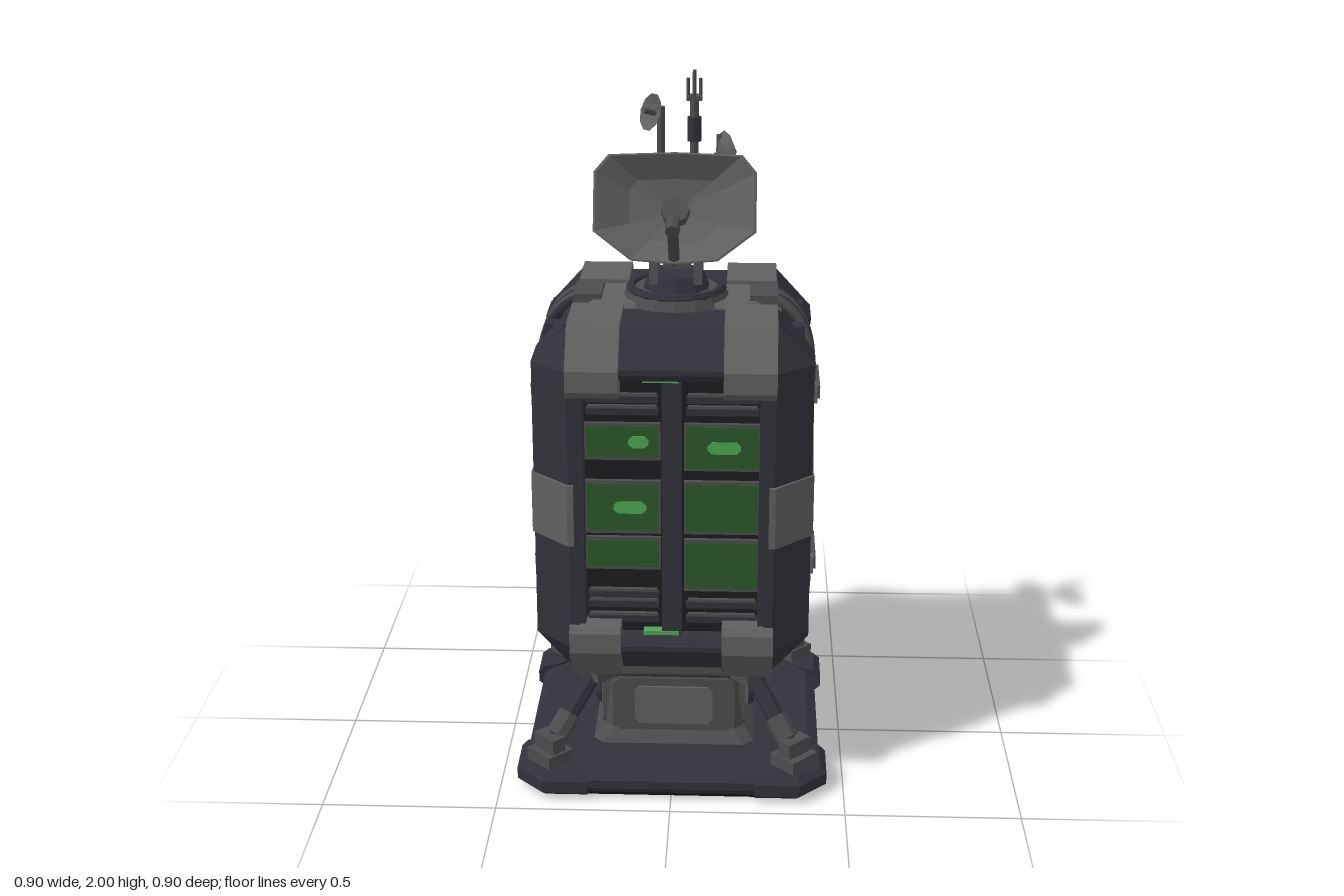
import * as THREE from 'three';

const mat = (name, color) => Object.assign(new THREE.MeshStandardMaterial({ color }), { name });
const M = {
  gray: mat('plate gray', 0x606061), dark: mat('dark armour', 0x31313a), mid: mat('mid gray', 0x4c4c4e),
  black: mat('black', 0x1d1d20), green: mat('screen green', 0x2a5729), bright: mat('bright green', 0x4ea552),
  mint: mat('mint trim', 0x6f9a80),
};
const V = (x, y, z) => new THREE.Vector3(x, y, z);

// faceted copy, optionally mirrored with corrected winding
function flat(geo, sx = 1, sy = 1, sz = 1) {
  const g = geo.index ? geo.toNonIndexed() : geo.clone();
  g.scale(sx, sy, sz);
  if (sx * sy * sz < 0) {
    const p = g.attributes.position;
    for (let i = 0; i < p.count; i += 3) {
      const a = V().fromBufferAttribute(p, i), b = V().fromBufferAttribute(p, i + 2);
      p.setXYZ(i, b.x, b.y, b.z);
      p.setXYZ(i + 2, a.x, a.y, a.z);
    }
  }
  g.computeVertexNormals();
  return g;
}

// skin through equal-length counter-clockwise outlines: sections = [[points, z], ...]
function loft(sections) {
  const pos = [], idx = [], n = sections[0][0].length, last = (sections.length - 1) * n;
  for (const [pts, z] of sections) for (const [x, y] of pts) pos.push(x, y, z);
  for (let s = 0; s < last; s += n) for (let i = 0; i < n; i++) {
    const j = (i + 1) % n;
    idx.push(s + i, s + j, s + n + j, s + i, s + n + j, s + n + i);
  }
  for (let i = 1; i < n - 1; i++) idx.push(0, i + 1, i, last, last + i, last + i + 1);
  const g = new THREE.BufferGeometry();
  g.setAttribute('position', new THREE.Float32BufferAttribute(pos, 3));
  g.setIndex(idx);
  return g;
}
const upLoft = (s) => loft(s).rotateX(-Math.PI / 2);
const octagon = (w, h, c) => [[w, -h + c], [w, h - c], [w - c, h], [-w + c, h], [-w, h - c], [-w, -h + c], [-w + c, -h], [w - c, -h]];
const extrude = (pts, depth) => new THREE.ExtrudeGeometry(new THREE.Shape(pts.map(p => new THREE.Vector2(...p))), { depth, bevelEnabled: false });

function add(parent, name, geo, material, x = 0, y = 0, z = 0) {
  const m = new THREE.Mesh(flat(geo), material);
  m.name = name;
  m.position.set(x, y, z);
  parent.add(m);
  return m;
}
const box = (p, name, m, w, h, d, x, y, z) => add(p, name, new THREE.BoxGeometry(w, h, d), m, x, y, z);
function rod(p, name, m, a, b, r, sides = 6) {
  const d = b.clone().sub(a);
  const o = add(p, name, new THREE.CylinderGeometry(r, r, d.length(), sides), m, ...a.clone().add(b).multiplyScalar(0.5).toArray());
  o.quaternion.setFromUnitVectors(V(0, 1, 0), d.normalize());
  return o;
}
const corners = [[1, 1], [1, -1], [-1, 1], [-1, -1]];
const MID = 0.87; // mirror height of the cabinet

function base(g) {
  add(g, 'basePlate', upLoft([[octagon(0.42, 0.42, 0.07), 0.02], [octagon(0.43, 0.43, 0.07), 0.03], [octagon(0.43, 0.43, 0.07), 0.055], [octagon(0.4, 0.4, 0.07), 0.073]]), M.dark);
  add(g, 'baseUnderside', upLoft([[octagon(0.41, 0.41, 0.07), 0], [octagon(0.43, 0.43, 0.07), 0.02]]), M.black);
  const capPlan = (o) => [[0.24, 0.45 - o], [0.25, 0.39], [0.39, 0.25], [0.45 - o, 0.24], [0.45 - o, 0.37 - o / 2], [0.37 - o / 2, 0.45 - o]];
  const cap = upLoft([[capPlan(0.015), 0.012], [capPlan(0), 0.025], [capPlan(0), 0.06], [capPlan(0.02), 0.08]]);
  for (const [sx, sz] of corners) {
    add(g, 'baseCornerCap', flat(cap, sx, 1, sz), M.dark);
    const foot = box(g, 'strutFoot', M.mid, 0.1, 0.045, 0.09, 0.355 * sx, 0.095, 0.355 * sz);
    foot.rotation.y = sx * sz * Math.PI / 4;
    const clevis = box(g, 'strutClevis', M.mid, 0.085, 0.055, 0.045, 0.355 * sx, 0.135, 0.355 * sz);
    clevis.rotation.y = sx * sz * Math.PI / 4;
    rod(g, 'strut', M.dark, V(0.355 * sx, 0.12, 0.355 * sz), V(0.215 * sx, 0.33, 0.215 * sz), 0.026, 8);
    rod(g, 'strutSleeve', M.mid, V(0.335 * sx, 0.15, 0.335 * sz), V(0.3 * sx, 0.203, 0.3 * sz), 0.034, 8);
    const plug = box(g, 'strutBracket', M.mid, 0.09, 0.05, 0.07, 0.225 * sx, 0.315, 0.225 * sz);
    plug.rotation.y = sx * sz * Math.PI / 4;
  }
  // pedestal
  add(g, 'pedestal', upLoft([[octagon(0.24, 0.24, 0.03), 0.07], [octagon(0.205, 0.205, 0.025), 0.11], [octagon(0.195, 0.195, 0.025), 0.27], [octagon(0.25, 0.25, 0.04), 0.31], [octagon(0.25, 0.25, 0.04), 0.37]]), M.mid);
  for (let i = 0; i < 4; i++) {
    const side = new THREE.Group();
    side.name = 'pedestalSide';
    side.rotation.y = i * Math.PI / 2;
    add(side, 'pedestalPanel', extrude(octagon(0.18, 0.085, 0.02), 0.02), M.mid, 0, 0.19, 0.192);
    add(side, 'pedestalHatch', extrude(octagon(0.115, 0.06, 0.015), 0.012), M.gray, 0, 0.19, 0.208);
    if (i % 2) for (const x of [-0.065, 0.065]) {
      add(side, 'pedestalPort', new THREE.TorusGeometry(0.038, 0.014, 6, 10), M.dark, x, 0.175, 0.225);
      add(side, 'portCore', new THREE.CylinderGeometry(0.034, 0.034, 0.03, 8).rotateX(Math.PI / 2), M.black, x, 0.175, 0.22);
    }
    g.add(side);
  }
}

// screens as [x, y, height, glow offset or null]
const frontScreens = [[-0.137, 1.065, 0.09, 0.045], [-0.137, 0.87, 0.14, 0.02], [-0.137, 0.73, 0.08, null], [0.14, 1.05, 0.12, 0.005], [0.14, 0.87, 0.14, null], [0.14, 0.695, 0.14, null]];
const backScreens = [[-0.137, 1.045, 0.14, null], [-0.137, 0.87, 0.14, null], [-0.137, 0.695, 0.14, 0], [0.14, 1.06, 0.11, null], [0.14, 0.875, 0.13, null], [0.14, 0.7, 0.13, null]];

// recessed front and back face, built facing +z
function screenBay(side, screens) {
  box(side, 'bayBack', M.black, 0.52, 0.78, 0.02, 0, MID, 0.31);
  box(side, 'bayDivider', M.dark, 0.055, 0.78, 0.035, 0, MID, 0.33);
  for (const x of [-0.252, 0.252]) box(side, 'bayRail', M.dark, 0.02, 0.74, 0.065, x, MID, 0.345);
  for (const [x, y, h, glow] of screens) {
    box(side, 'screenFrame', M.mid, 0.212, h + 0.018, 0.016, x, y, 0.325);
    box(side, 'screen', M.green, 0.2, h, 0.006, x, y, 0.332);
    if (glow !== null) add(side, 'screenGlow', extrude(octagon(h > 0.1 ? 0.046 : 0.028, 0.018, 0.012), 0.004), M.bright, x + glow, y, 0.333);
  }
  for (const x of [-0.137, 0.14]) {
    for (const y of [1.19, 1.155, 0.605, 0.575, 0.53]) {
      if (screens.some(s => s[0] === x && Math.abs(s[1] - y) < s[2] / 2 + 0.02)) continue;
      box(side, 'ventSlat', M.dark, 0.2, 0.018, 0.025, x, y, 0.328);
      box(side, 'ventTrim', M.mid, 0.19, 0.007, 0.012, x, y + 0.013, 0.33);
    }
  }
  // wrap-over caps in (z, y relative to the mirror height)
  const wrap = (w, y0, o) => extrude([[0.12, 0.46], [0.25, 0.46], [0.305, 0.4], [0.305, y0], [0.39 - o, y0], [0.405 - o, y0 + 0.02], [0.405 - o, 0.42], [0.315 - o, 0.53 - o], [0.12, 0.53 - o]].reverse(), w).rotateY(-Math.PI / 2).translate(w / 2, 0, 0);
  for (const s of [1, -1]) {
    add(side, 'centreWrap', flat(wrap(0.32, 0.385, 0.018), 1, s, 1), M.dark, 0, MID, 0);
    for (const x of [-0.215, 0.215]) add(side, 'cornerWrap', flat(wrap(0.145, 0.34, 0), 1, s, 1), M.gray, x, MID, 0);
    box(side, 'statusLight', M.bright, 0.1, 0.012, 0.03, -0.03, MID + s * 0.379, 0.335);
  }
}

// recessed side face, built facing +x
function cableSide(side) {
  const plate = (w, h, c, d) => extrude(octagon(w, h, c), d).rotateY(Math.PI / 2);
  for (const s of [1, -1]) {
    const y = MID + s * 0.235;
    add(side, 'panelTrim', plate(0.258, 0.12, 0.05, 0.01), M.mint, 0.345, y);
    add(side, 'sidePanel', plate(0.25, 0.135, 0.05, 0.02), M.gray, 0.344, y);
    add(side, 'panelGroove', plate(0.215, 0.105, 0.04, 0.004), M.mid, 0.363, y);
    add(side, 'panelInset', plate(0.2, 0.095, 0.035, 0.006), M.gray, 0.363, y);
    box(side, 'cableClamp', M.mid, 0.05, 0.035, 0.2, 0.388, MID + s * 0.265, 0);
    for (const z of [-0.1, 0.1]) box(side, 'clampFoot', M.gray, 0.05, 0.055, 0.03, 0.38, MID + s * 0.265, z);
    box(side, 'cableSocket', M.mid, 0.08, 0.04, 0.14, 0.25, MID + s * 0.52, 0);
    for (const z of [-0.11, 0.11]) box(side, 'shoulderBlock', M.dark, 0.06, 0.06, 0.05, 0.335, MID + s * 0.44, z);
    box(side, 'waistBlock', M.gray, 0.05, 0.15, 0.09, 0.355, MID, s * 0.235);
    box(side, 'waistPort', M.mid, 0.03, 0.11, 0.05, 0.355, MID, s * 0.165);
  }
  box(side, 'cableChannel', M.black, 0.02, 0.88, 0.14, 0.343, MID, 0);
  for (let i = 0; i < 6; i++) {
    const z = (i - 2.5) * 0.023, bow = z * 1.9 + Math.sign(z) * 0.02, x = 0.378 + 0.01 * (i % 2);
    const half = [[0.22, 0.53, z], [0.3, 0.515, z], [0.36, 0.45, z], [x, 0.36, z], [x, 0.25, z], [x, 0.12, z * 1.1]];
    const pts = [...half, [x, 0, bow], ...half.map(([a, b, c]) => [a, -b, c]).reverse()].map(p => V(...p));
    const tube = new THREE.Mesh(new THREE.TubeGeometry(new THREE.CatmullRomCurve3(pts), 48, 0.012, 6), i % 3 ? M.mid : M.dark);
    tube.name = 'cable';
    tube.position.y = MID;
    side.add(tube);
  }
}

function cabinet(g) {
  const inner = (o) => octagon(0.345 - o, 0.31 - o, 0.06);
  add(g, 'cabinetCore', upLoft([[inner(0.07), 0.36], [inner(0), 0.45], [inner(0), 1.29], [inner(0.07), 1.38]]), M.dark);
  // armour that leaves an eight-sided opening on each side face
  const plan = (o, v) => [[0.26, v], [0.39 - o, v], [0.39 - o, 0.285], [0.285, 0.385 - o], [0.26, 0.385 - o]];
  const half = [[0.52, 0.1, 0.13], [0.41, 0, 0.14], [0.385, 0, 0.19], [0.33, 0, 0.252]];
  const heights = [...half.map(([y, o, v]) => [-y, o, v]), ...half.slice().reverse()];
  const pillar = upLoft(heights.map(([y, o, v]) => [plan(o, v), MID + y]));
  const beltPlan = [[0.27, 0.25], [0.394, 0.25], [0.396, 0.288], [0.288, 0.395], [0.27, 0.395]];
  const belt = upLoft([[beltPlan, 0.775], [beltPlan, 0.955]]);
  for (const [sx, sz] of corners) {
    add(g, 'cornerPillar', flat(pillar, sx, 1, sz), M.dark);
    add(g, 'waistBelt', flat(belt, sx, 1, sz), M.gray);
  }
  const faces = [['frontFace', 0, s => screenBay(s, frontScreens)], ['backFace', 2, s => screenBay(s, backScreens)], ['leftFace', 0, cableSide], ['rightFace', 2, cableSide]];
  for (const [name, turns, build] of faces) {
    const side = new THREE.Group();
    side.name = name;
    side.rotation.y = turns * Math.PI / 2;
    build(side);
    g.add(side);
  }
}

// small dish opening along dir
function smallDish(g, c, dir, r) {
  const prof = [[0, -0.4], [0.55, -0.3], [1, 0], [0.94, 0], [0.5, -0.22], [0, -0.3]].map(([x, y]) => new THREE.Vector2(x * r, y * r));
  const d = add(g, 'smallDish', new THREE.LatheGeometry(prof, 10), M.gray, c.x, c.y, c.z);
  d.quaternion.setFromUnitVectors(V(0, 1, 0), dir.clone().normalize());
  rod(g, 'smallDishFeed', M.mid, c.clone().addScaledVector(dir, -r * 0.6), c.clone().addScaledVector(dir, r * 0.4), 0.008);
}

function roof(g) {
  add(g, 'roofBridge', upLoft([[octagon(0.3, 0.12, 0.06), 1.36], [octagon(0.25, 0.1, 0.05), 1.395]]), M.gray);
  add(g, 'turntable', new THREE.CylinderGeometry(0.14, 0.155, 0.035, 16), M.mid, 0, 1.4, 0);
  add(g, 'turntableRing', new THREE.TorusGeometry(0.13, 0.014, 6, 20).rotateX(Math.PI / 2), M.dark, 0, 1.415, 0);
  add(g, 'mountFoot', new THREE.CylinderGeometry(0.08, 0.1, 0.05, 10), M.dark, 0, 1.435, 0);
  const cheek = extrude([[-0.07, 1.44], [0.07, 1.44], [0.04, 1.58], [0.02, 1.62], [-0.02, 1.62], [-0.04, 1.58]], 0.025).rotateY(-Math.PI / 2);
  for (const x of [-0.05, 0.075]) add(g, 'mountCheek', cheek, M.mid, x, 0, 0);
  rod(g, 'mountPivot', M.gray, V(-0.09, 1.59, 0), V(0.09, 1.59, 0), 0.038, 10);
  rod(g, 'dishArm', M.mid, V(0, 1.58, -0.01), V(0, 1.66, 0.08), 0.04, 8);

  // main dish
  const dish = new THREE.Group();
  dish.name = 'mainDish';
  dish.position.set(0, 1.67, 0.115);
  dish.rotation.x = -0.37;
  const rim = [[0.225, -0.065], [0.225, 0.1], [0.185, 0.148], [0, 0.155], [-0.185, 0.148], [-0.225, 0.1], [-0.225, -0.065], [-0.12, -0.145], [0, -0.155], [0.12, -0.145]];
  const ring = (k) => rim.map(([x, y]) => [x * k, y * k]);
  add(dish, 'dishBowl', loft([[ring(0.15), -0.075], [ring(0.6), -0.052], [ring(1), 0.01], [ring(0.97), 0.012], [ring(0.57), -0.042], [ring(0.14), -0.062]]), M.gray);
  add(dish, 'dishHub', new THREE.CylinderGeometry(0.05, 0.06, 0.03, 8).rotateX(Math.PI / 2), M.mid, 0, 0, -0.085);
  g.add(dish);
  rod(g, 'feedArm', M.mid, V(0, 1.53, 0.15), V(0, 1.65, 0.265), 0.017);
  rod(g, 'feedHorn', M.mid, V(0, 1.67, 0.245), V(0, 1.65, 0.295), 0.02, 8);

  // antenna cluster
  box(g, 'antennaArm', M.mid, 0.08, 0.04, 0.18, 0, 1.48, -0.12);
  box(g, 'antennaPlatform', M.gray, 0.19, 0.05, 0.08, 0, 1.49, -0.17);
  for (const x of [-0.07, 0.01, 0.08]) box(g, 'equipmentBox', M.mid, 0.05, 0.1, 0.06, x, 1.55, -0.17);
  rod(g, 'mainMast', M.mid, V(0.045, 1.45, -0.17), V(0.045, 1.92, -0.17), 0.014);
  rod(g, 'leftPost', M.mid, V(0.12, 1.5, -0.16), V(0.12, 1.82, -0.16), 0.013);
  rod(g, 'rightPost', M.mid, V(-0.05, 1.5, -0.16), V(-0.05, 1.9, -0.16), 0.013);
  for (const y of [1.63, 1.7]) rod(g, 'mastCollar', M.dark, V(0.045, y, -0.17), V(0.045, y + 0.04, -0.17), 0.026, 8);
  rod(g, 'mastSleeve', M.dark, V(0.045, 1.8, -0.17), V(0.045, 1.87, -0.17), 0.02, 8);
  for (const [dx, dz] of [[-0.018, 0], [0.018, 0], [0, -0.018], [0, 0.018]]) rod(g, 'mastTine', M.mid, V(0.045 + dx, 1.92, -0.17 + dz), V(0.045 + dx, dx ? 1.98 : 2, -0.17 + dz), 0.005, 4);
  box(g, 'tineBase', M.mid, 0.045, 0.012, 0.045, 0.045, 1.925, -0.17);
  smallDish(g, V(-0.08, 1.885, -0.155), V(-0.8, 0.3, 0.52), 0.055);
  smallDish(g, V(0.14, 1.77, -0.15), V(0.9, 0.1, -0.42), 0.065);
  smallDish(g, V(0.125, 1.59, -0.2), V(0.8, 0.1, -0.6), 0.07);
  rod(g, 'rearBoom', M.mid, V(0.07, 1.48, -0.19), V(0.09, 1.48, -0.26), 0.008);
  rod(g, 'rearWhip', M.mid, V(0.09, 1.48, -0.26), V(0.1, 1.6, -0.25), 0.007);
  rod(g, 'rearProbe', M.mid, V(0.1, 1.59, -0.2), V(0.11, 1.595, -0.315), 0.008);
}

export function createModel() {
  const model = new THREE.Group();
  model.name = 'communicationsTower';
  for (const [name, build] of [['base', base], ['cabinet', cabinet], ['roofEquipment', roof]]) {
    const part = new THREE.Group();
    part.name = name;
    build(part);
    model.add(part);
  }
  return model;
}
